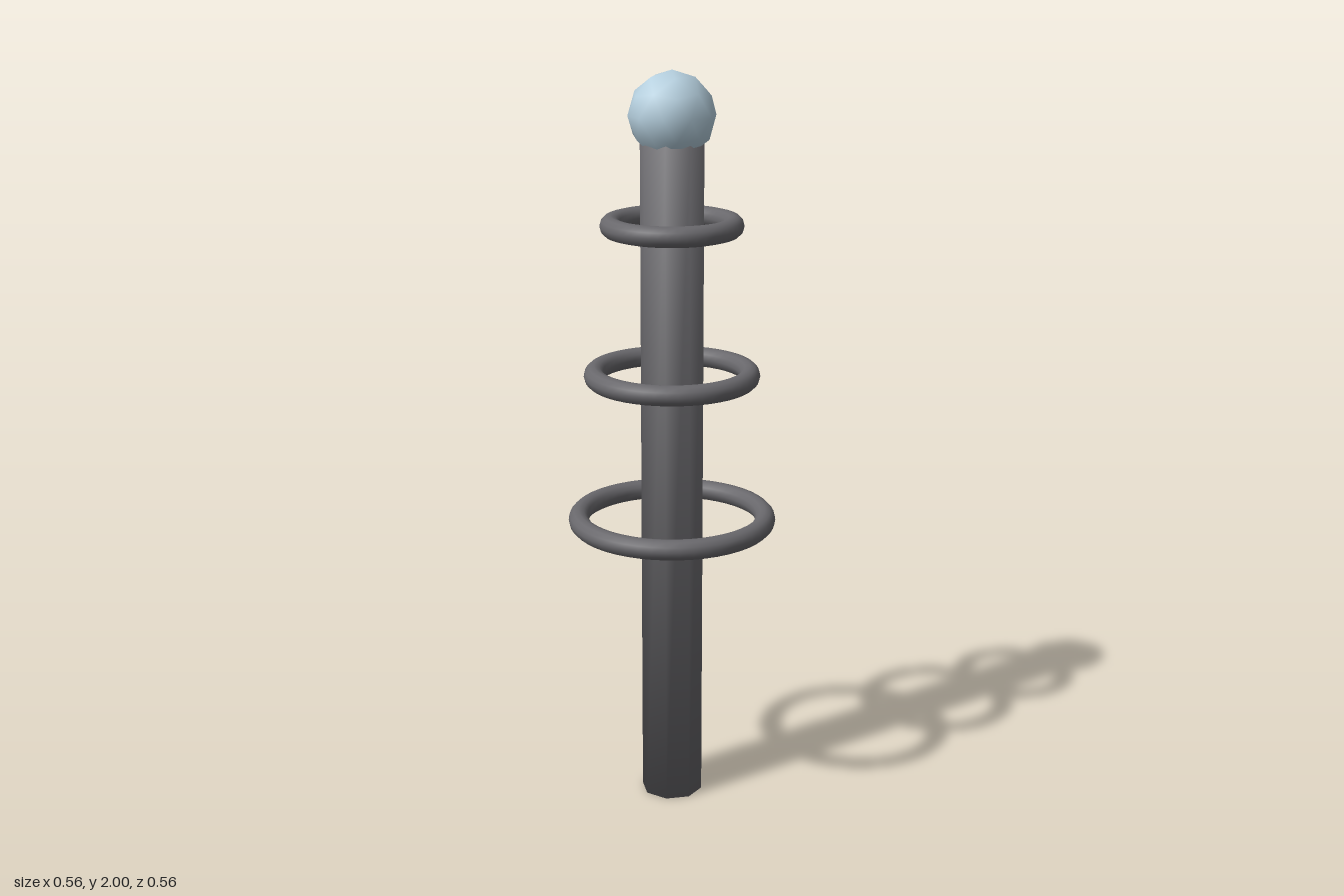
import * as THREE from 'three';
import { mergeVertices } from 'three/addons/utils/BufferGeometryUtils.js';

export function createModel() {
  const model = new THREE.Group();
  const darkMetal = new THREE.MeshStandardMaterial({ color: 0x69686c });
  darkMetal.name = 'dark metal';
  const paleBlue = new THREE.MeshStandardMaterial({ color: 0xb6d0df });
  paleBlue.name = 'pale blue';

  const add = (name, geometry, material, y) => {
    const mesh = new THREE.Mesh(geometry, material);
    mesh.name = name;
    mesh.position.y = y;
    model.add(mesh);
  };

  // Eight-sided rod, shaded smoothly across its end edges
  const rodHeight = 1.87, rodRadius = 0.084;
  let rod = new THREE.CylinderGeometry(rodRadius, rodRadius, rodHeight, 8);
  rod.deleteAttribute('uv');
  rod.deleteAttribute('normal');
  rod = mergeVertices(rod);
  rod.computeVertexNormals();
  const p = rod.attributes.position;
  const n = new THREE.Vector3();
  for (let i = 0; i < p.count; i++) {
    n.set(p.getX(i) / rodRadius * 1.23, Math.sign(p.getY(i)), p.getZ(i) / rodRadius * 1.23).normalize();
    rod.attributes.normal.setXYZ(i, n.x, n.y, n.z);
  }
  add('rod', rod, darkMetal, rodHeight / 2);

  // Three floating rings, widening downwards
  const rings = [['topRing', 0.16, 1.603], ['middleRing', 0.206, 1.204], ['bottomRing', 0.252, 0.804]];
  for (const [name, radius, y] of rings) {
    add(name, new THREE.TorusGeometry(radius, 0.0275, 12, 48).rotateX(Math.PI / 2), darkMetal, y);
  }

  // Faceted ball with one corner pointing straight up
  const golden = (1 + Math.sqrt(5)) / 2;
  const ball = new THREE.IcosahedronGeometry(0.114, 1).rotateZ(-Math.atan(1 / golden));
  add('ball', ball, paleBlue, 1.886);

  return model;
}
